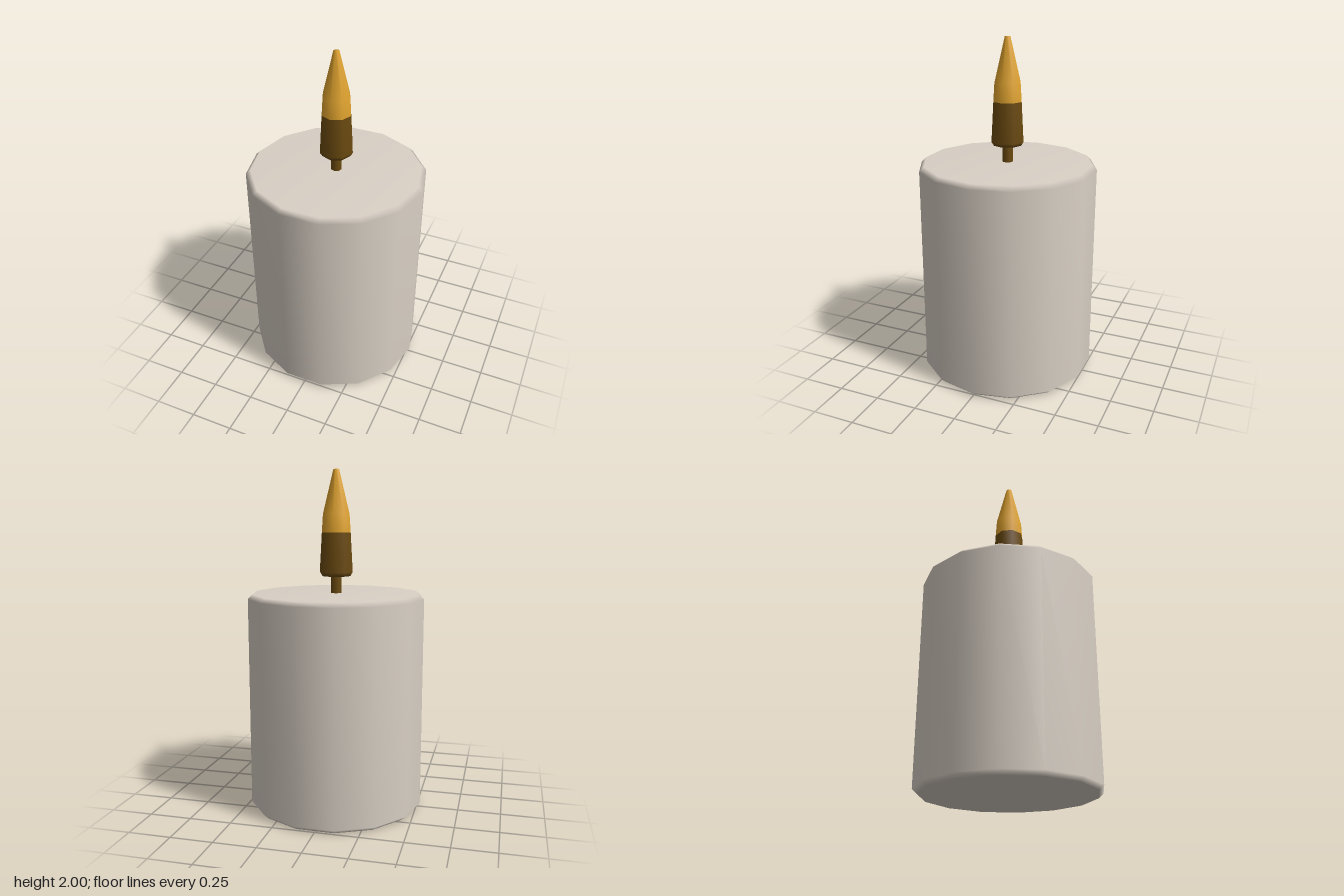
import * as THREE from 'three';

export function createModel() {
  const model = new THREE.Group();
  model.name = 'candle';

  const material = (name, color) => {
    const m = new THREE.MeshStandardMaterial({ color });
    m.name = name;
    return m;
  };
  const wax = material('cream wax', 0xd9d0c5);
  const gold = material('flame gold', 0xe0a32e);
  const brown = material('dark brown', 0x6b4a10);

  // Turned part from [radius, height] pairs, bottom to top, with a corner on +x
  const turned = (name, profile, sides, mat) => {
    const points = profile.map(([r, y]) => new THREE.Vector2(r, y));
    const geometry = new THREE.LatheGeometry(points, sides, Math.PI / 2);
    const mesh = new THREE.Mesh(geometry, mat);
    mesh.name = name;
    model.add(mesh);
  };

  // Fourteen-sided wax body with small soft bevels
  turned('waxBody', [
    [0, 0], [0.495, 0], [0.522, 0.025], [0.522, 1.26], [0.495, 1.286], [0, 1.286],
  ], 14, wax);

  // Short wick between wax and flame
  turned('wick', [[0.033, 1.27], [0.033, 1.4]], 8, brown);

  // Flame: dark base, then a bright tapering tip
  turned('flameBase', [[0, 1.386], [0.085, 1.386], [0.1, 1.41], [0.087, 1.64]], 8, brown);
  turned('flameTip', [[0.087, 1.64], [0.08, 1.745], [0.017, 2], [0, 2]], 8, gold);

  return model;
}
